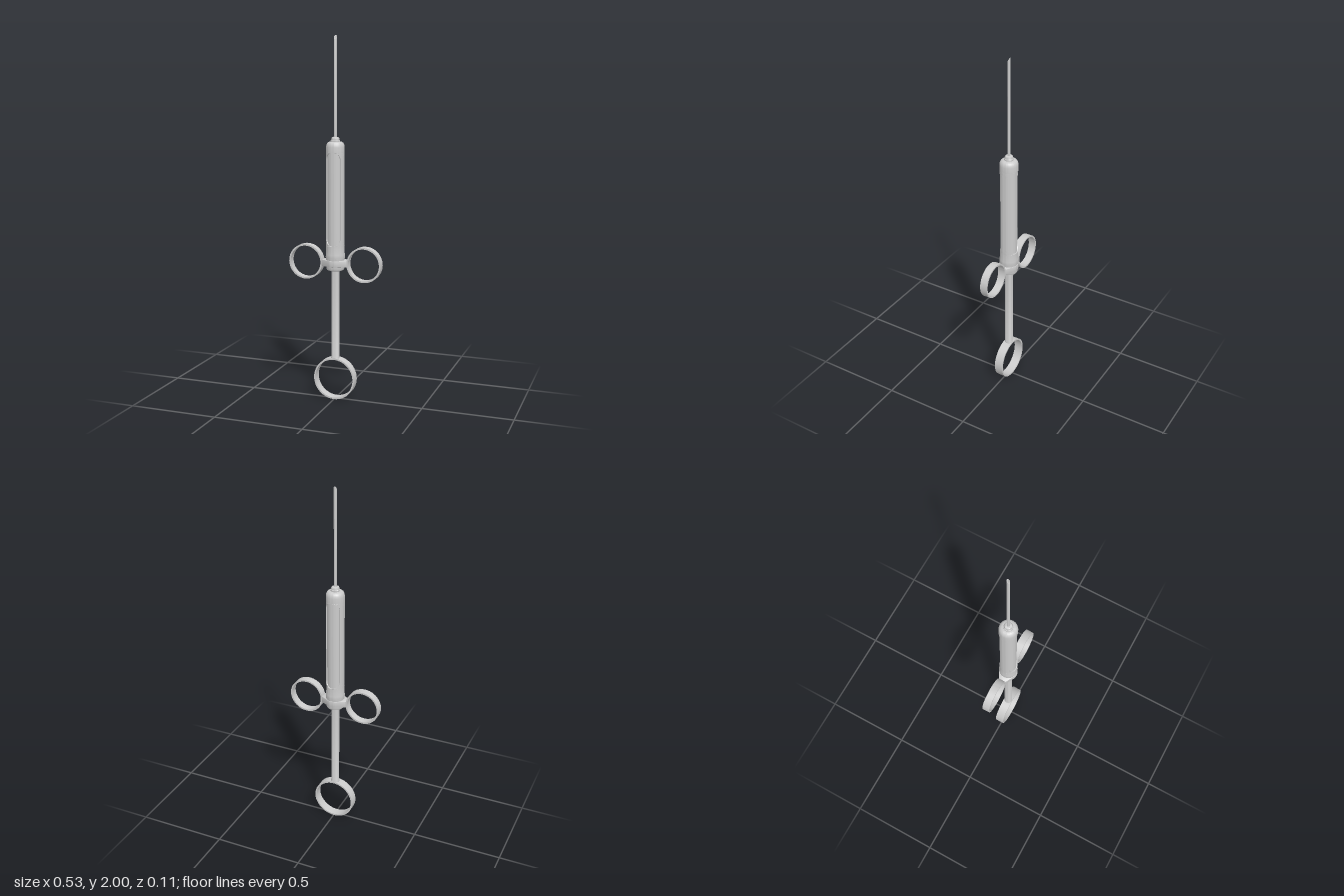
import * as THREE from 'three';
import { toCreasedNormals } from 'three/addons/utils/BufferGeometryUtils.js';
import { ParametricGeometry } from 'three/addons/geometries/ParametricGeometry.js';

const grey = new THREE.MeshStandardMaterial({ color: 0xcccccc });

function part(name, geometry, crease = 0.6) {
  const mesh = new THREE.Mesh(toCreasedNormals(geometry, crease), grey);
  mesh.name = name;
  return mesh;
}

// Surface of revolution from [radius, height] pairs
const lathe = (points, segments = 48) =>
  new THREE.LatheGeometry(points.map(([r, y]) => new THREE.Vector2(r, y)), segments);

// Flat band ring, axis along z
function ring(name, x, y, radius, halfDepth) {
  const inner = radius - 0.009;
  const g = lathe([
    [inner, -halfDepth], [radius, -halfDepth], [radius, halfDepth],
    [inner, halfDepth], [inner, -halfDepth],
  ], 64);
  g.rotateX(Math.PI / 2).translate(x, y, 0);
  return part(name, g);
}

// Barrel wall on one side, between the round-ended front and back windows
function barrelSide() {
  const R = 0.05, inner = 0.044, y0 = 0.87, y1 = 1.38, cap = 0.04;
  const across = 18, rows = 25;
  return new ParametricGeometry((u, v, target) => {
    const i = Math.round(u * across), k = Math.round(v * rows);
    const t = (Math.min(k, rows - k) / 12) * (Math.PI / 2);
    const rise = cap * (1 - Math.cos(t));
    const y = k <= 12 ? y0 + rise : y1 - rise;
    const edge = 0.93 * Math.sin(t);
    const s = Math.min(Math.max((i - 1) / (across - 2), 0), 1);
    const angle = edge + s * (Math.PI - 2 * edge);
    const r = i === 0 || i === across ? inner : R;
    target.set(r * Math.sin(angle), y, r * Math.cos(angle));
  }, across, rows);
}

// Hollow needle with a slanted tip
function needle() {
  const r = 0.008, bore = 0.005;
  const g = lathe([[r, 1.45], [r, 2], [bore, 2], [bore, 1.9], [0, 1.9]], 20);
  const p = g.attributes.position;
  for (let i = 0; i < p.count; i++) {
    if (p.getY(i) > 1.95) p.setY(i, 2 - 0.025 * (p.getZ(i) + r) / (2 * r));
  }
  return g;
}

// Collar plate: round in the middle, tapering to both finger rings
function collarPlate() {
  const R = 0.053, a = 0.95, shape = new THREE.Shape();
  shape.moveTo(0.074, -0.02);
  shape.lineTo(0.074, 0.02);
  shape.lineTo(R * Math.cos(a), R * Math.sin(a));
  shape.absarc(0, 0, R, a, Math.PI - a, false);
  shape.lineTo(-0.074, 0.02);
  shape.lineTo(-0.074, -0.02);
  shape.absarc(0, 0, R, Math.PI + a, 2 * Math.PI - a, false);
  const g = new THREE.ExtrudeGeometry(shape, {
    depth: 0.03, bevelEnabled: true, bevelSize: 0.002, bevelThickness: 0.003,
    bevelOffset: -0.002, bevelSegments: 2, curveSegments: 20,
  });
  return g.rotateX(-Math.PI / 2).translate(0, 0.758, 0);
}

export function createModel() {
  const model = new THREE.Group();
  model.name = 'ringHandledSyringe';

  model.add(part('needle', needle()));
  model.add(part('needleHub', lathe([
    [0.025, 1.43], [0.025, 1.444], [0.022, 1.447], [0.022, 1.453],
    [0.019, 1.459], [0.013, 1.462], [0, 1.462],
  ])));

  // Barrel: rounded shoulder, two side walls, inner tube, flared foot
  model.add(part('barrelShoulder', lathe([
    [0.044, 1.38], [0.05, 1.38], [0.05, 1.408], [0.0485, 1.419], [0.044, 1.429],
    [0.037, 1.435], [0.03, 1.437], [0, 1.437],
  ])));
  for (const side of [0, 1]) {
    model.add(part(side ? 'barrelRightWall' : 'barrelLeftWall', barrelSide().rotateY(side * Math.PI)));
  }
  model.add(part('innerTube', lathe([[0.045, 0.86], [0.045, 1.39]])));
  model.add(part('barrelFoot', lathe([
    [0, 0.785], [0.05, 0.785], [0.052, 0.8], [0.053, 0.808], [0.052, 0.822],
    [0.05, 0.84], [0.05, 0.87], [0.044, 0.87],
  ])));

  // Collar with end cap
  model.add(part('collar', collarPlate()));
  model.add(part('collarCap', lathe([
    [0, 0.733], [0.04, 0.733], [0.046, 0.736], [0.049, 0.742], [0.049, 0.76],
  ])));

  // Plunger and rings
  model.add(part('plungerRod', lathe([
    [0, 0.231], [0.024, 0.231], [0.024, 0.241], [0.0225, 0.244], [0.0225, 0.74],
  ])));
  model.add(ring('leftFingerRing', 0.168, 0.773, 0.097, 0.021));
  model.add(ring('rightFingerRing', -0.168, 0.773, 0.097, 0.021));
  model.add(ring('thumbRing', 0, 0.118, 0.118, 0.025));

  return model;
}
